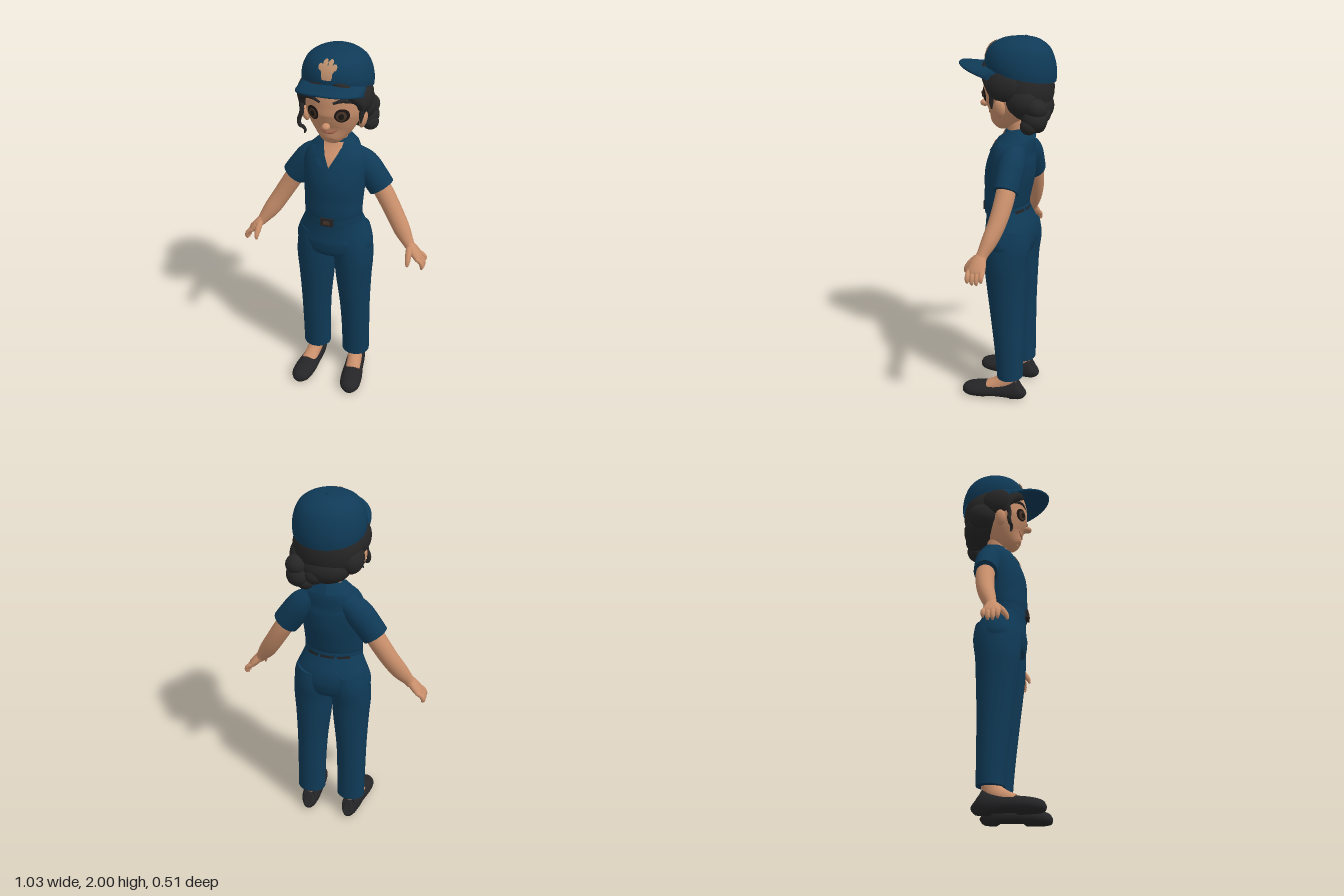
import * as THREE from 'three';

const mat = (name, color, side = THREE.FrontSide) => {
  const m = new THREE.MeshStandardMaterial({ color, side });
  m.name = name;
  return m;
};

export function createModel() {
  const root = new THREE.Group();
  root.name = 'officer';
  const navy = mat('navy cloth', 0x0f3a57, THREE.DoubleSide);
  const skin = mat('skin', 0xc98f6b, THREE.DoubleSide);
  const hairBlack = mat('black hair', 0x272626, THREE.DoubleSide);
  const leather = mat('black leather', 0x252527);
  const eyeDark = mat('dark eye', 0x1c1613, THREE.DoubleSide);
  const iris = mat('brown iris', 0x4a3528, THREE.DoubleSide);
  const lip = mat('lip', 0xa8664f);
  const tan = mat('tan badge', 0xbd8f6c, THREE.DoubleSide);

  const add = (parent, name, geometry, material) => {
    const m = new THREE.Mesh(geometry, material);
    m.name = name;
    parent.add(m);
    return m;
  };
  const group = (name) => {
    const g = new THREE.Group();
    g.name = name;
    root.add(g);
    return g;
  };
  const build = (pos, idx) => {
    const g = new THREE.BufferGeometry();
    g.setAttribute('position', new THREE.Float32BufferAttribute(pos, 3));
    g.setIndex(idx);
    g.computeVertexNormals();
    return g;
  };

  // Smooth solid through elliptical rings [x, y, z, radius towards ref, radius across]
  function loft(pts, { ref = [0, 0, 1], n = 28, steps = 5 } = {}) {
    const path = new THREE.CatmullRomCurve3(pts.map((p) => new THREE.Vector3(p[0], p[1], p[2])), false, 'catmullrom');
    const size = new THREE.CatmullRomCurve3(pts.map((p) => new THREE.Vector3(p[3], p[4] ?? p[3], 0)), false, 'catmullrom');
    const pos = [], idx = [], rows = (pts.length - 1) * steps, R = new THREE.Vector3(...ref);
    const ring = (t) => {
      const c = path.getPoint(t), T = path.getTangent(t), s = size.getPoint(t);
      const N = R.clone().addScaledVector(T, -R.dot(T)).normalize();
      const B = T.clone().cross(N);
      for (let j = 0; j < n; j++) {
        const a = (j / n) * Math.PI * 2;
        const v = c.clone().addScaledVector(N, Math.cos(a) * s.x).addScaledVector(B, Math.sin(a) * s.y);
        pos.push(v.x, v.y, v.z);
      }
      return c;
    };
    for (let i = 0; i <= rows; i++) ring(i / rows);
    for (let i = 0; i < rows; i++) for (let j = 0; j < n; j++) {
      const a = i * n + j, b = i * n + ((j + 1) % n);
      idx.push(a, b, a + n, b, b + n, a + n);
    }
    for (const t of [0, 1]) {
      const k = pos.length / 3, c = ring(t);
      pos.push(c.x, c.y, c.z);
      for (let j = 0; j < n; j++) {
        const a = k + j, b = k + ((j + 1) % n);
        t ? idx.push(a, b, k + n) : idx.push(b, a, k + n);
      }
    }
    return build(pos, idx);
  }
  // Surface over rows of points
  function sheet(rows) {
    const w = rows[0].length, idx = [];
    for (let i = 0; i < rows.length - 1; i++) for (let j = 0; j < w - 1; j++) {
      const a = i * w + j;
      idx.push(a, a + 1, a + w, a + 1, a + w + 1, a + w);
    }
    return build(rows.flat(2), idx);
  }
  // Depth of a mesh's front surface, used to lay thin details on it
  const ray = new THREE.Raycaster();
  const frontOf = (mesh) => (x, y) => {
    ray.set(new THREE.Vector3(x, y, 2), new THREE.Vector3(0, 0, -1));
    const hit = ray.intersectObject(mesh)[0];
    return hit ? hit.point.z : 0;
  };
  // Thin plate on a surface; rows [y, xMin, xMax] from bottom to top
  const plate = (rows, depth, lift) => sheet(rows.map(([y, a, b]) =>
    Array.from({ length: 13 }, (_, j) => {
      const x = a + ((b - a) * j) / 12;
      return [x, y, depth(x, y) + lift];
    })));
  const oval = (cx, cy, rx, ry) => Array.from({ length: 17 }, (_, i) => {
    const a = (i / 16 - 0.5) * Math.PI, w = rx * Math.cos(a);
    return [cy + ry * Math.sin(a), cx - w, cx + w];
  });
  const blob = (parent, name, material, p, s) => {
    const m = add(parent, name, new THREE.SphereGeometry(1, 28, 18), material);
    m.position.set(...p);
    m.scale.set(...s);
    return m;
  };

  // Shirt and neck
  const body = group('body');
  const shirt = add(body, 'shirt', loft([
    [0, 1.09, -0.005, 0.105, 0.145], [0, 1.13, 0, 0.115, 0.155], [0, 1.2, -0.008, 0.122, 0.158],
    [0, 1.3, -0.02, 0.13, 0.165], [0, 1.4, -0.04, 0.115, 0.168], [0, 1.46, -0.06, 0.09, 0.14],
    [0, 1.5, -0.064, 0.075, 0.095], [0, 1.525, -0.065, 0.066, 0.072]], { n: 40 }), navy);
  add(body, 'neck', loft([[0, 1.42, -0.065, 0.055], [0, 1.52, -0.06, 0.056], [0, 1.62, -0.045, 0.06]]), skin);
  add(body, 'openNeck', plate([[1.405, 0, 0], [1.43, -0.014, 0.014], [1.46, -0.03, 0.03],
    [1.49, -0.047, 0.047], [1.518, -0.052, 0.052]], frontOf(shirt), 0.006), skin);
  const collarIn = [[0, 1.405, 0.078], [0.045, 1.49, 0.028], [0.07, 1.525, -0.03], [0.06, 1.54, -0.1], [0, 1.545, -0.128]];
  const collarOut = [[0.06, 1.41, 0.078], [0.1, 1.452, 0.033], [0.137, 1.475, -0.05], [0.095, 1.488, -0.13], [0, 1.488, -0.157]];

  // Trousers
  add(body, 'hips', loft([
    [0, 0.83, -0.03, 0.05, 0.06], [0, 0.87, -0.03, 0.115, 0.18], [0, 0.92, -0.028, 0.135, 0.212],
    [0, 0.98, -0.027, 0.138, 0.203], [0, 1.05, -0.015, 0.122, 0.172], [0, 1.1, -0.005, 0.112, 0.153],
    [0, 1.125, -0.003, 0.11, 0.15]], { n: 40 }), navy);

  // Belt: cloth in front, leather showing between loops behind
  const band = (name, material, from, to, h, grow) => {
    const m = add(body, name, new THREE.CylinderGeometry(1, 1, h, 40, 1, true, from * Math.PI, (to - from) * Math.PI), material);
    m.scale.set(0.157 + grow, 1, 0.116 + grow);
    m.position.set(0, 1.1, -0.004);
  };
  band('waistband', navy, 0, 2, 0.04, 0);
  for (const a of [0.74, 0.92, 1.1]) band('beltStrip', leather, a, a + 0.15, 0.026, 0.004);
  const buckle = add(body, 'buckle', new THREE.BoxGeometry(0.068, 0.046, 0.018), leather);
  buckle.position.set(0, 1.1, 0.114);
  const plateIn = add(body, 'bucklePlate', new THREE.BoxGeometry(0.036, 0.02, 0.008), iris);
  plateIn.position.set(0, 1.1, 0.122);

  // Paired limbs
  for (const s of [1, -1]) {
    const side = s > 0 ? 'left' : 'right';
    const mx = (pts) => pts.map(([x, ...r]) => [x * s, ...r]);
    const limb = group(side + 'Limbs');
    const put = (name, pts, material, opt) => add(limb, side + name, loft(mx(pts), opt), material);
    add(limb, side + 'Collar', sheet([mx(collarIn), mx(collarOut)]), navy);
    put('TrouserLeg', [[0.12, 0.135, -0.06, 0.072, 0.08], [0.119, 0.3, -0.053, 0.08, 0.081],
      [0.115, 0.5, -0.042, 0.093, 0.086], [0.108, 0.7, -0.033, 0.11, 0.1], [0.107, 0.82, -0.03, 0.119, 0.108],
      [0.1, 0.92, -0.035, 0.127, 0.108], [0.09, 1.0, -0.035, 0.12, 0.1]], navy);
    put('Sleeve', [[0.08, 1.43, -0.075, 0.055], [0.145, 1.378, -0.077, 0.07, 0.074], [0.2, 1.31, -0.076, 0.068, 0.074],
      [0.24, 1.255, -0.075, 0.064, 0.072]], navy);
    put('Arm', [[0.2, 1.31, -0.077, 0.05], [0.26, 1.215, -0.075, 0.05], [0.32, 1.115, -0.06, 0.046, 0.048],
      [0.37, 1.035, -0.037, 0.04, 0.045], [0.412, 0.975, -0.015, 0.029, 0.031], [0.43, 0.95, -0.01, 0.03, 0.026]], skin);
    put('Palm', [[0.415, 0.975, -0.01, 0.024, 0.024], [0.445, 0.94, -0.005, 0.041, 0.025],
      [0.475, 0.905, -0.004, 0.045, 0.02], [0.485, 0.89, -0.004, 0.035, 0.012]], skin);
    for (let i = 0; i < 4; i++) {
      const z = -0.039 + i * 0.024, d = i === 0 ? 0.016 : i === 3 ? 0.006 : 0;
      put('Finger', [[0.468, 0.912, z, 0.012], [0.495, 0.888 + d / 2, z, 0.0125],
        [0.503, 0.86 + d, z, 0.011], [0.499, 0.845 + d, z, 0.005]], skin, { n: 12 });
    }
    put('Thumb', [[0.425, 0.96, 0.01, 0.018], [0.428, 0.93, 0.042, 0.017], [0.43, 0.9, 0.064, 0.013],
      [0.429, 0.877, 0.071, 0.006]], skin, { n: 12 });
    put('Foot', [[0.12, 0.2, -0.06, 0.045, 0.04], [0.122, 0.12, -0.052, 0.05, 0.042], [0.13, 0.08, -0.005, 0.045, 0.042],
      [0.137, 0.055, 0.06, 0.035, 0.045]], skin);
    const shoe = put('Shoe', [[0.122, 0.07, -0.127, 0.035, 0.02], [0.123, 0.062, -0.113, 0.064, 0.042],
      [0.126, 0.05, -0.06, 0.06, 0.052], [0.133, 0.04, 0.02, 0.048, 0.056], [0.143, 0.034, 0.1, 0.045, 0.062],
      [0.151, 0.028, 0.165, 0.038, 0.056], [0.155, 0.024, 0.2, 0.026, 0.035], [0.156, 0.024, 0.212, 0.01, 0.012]],
    leather, { ref: [0, 1, 0] });
    // Flat sole, lifted at the arch
    const p = shoe.geometry.attributes.position;
    for (let i = 0; i < p.count; i++) {
      const z = p.getZ(i), arch = z > -0.06 && z < 0.07 ? 0.014 : 0;
      p.setY(i, Math.max(p.getY(i), arch));
    }
    shoe.geometry.computeVertexNormals();
  }

  // Head and face
  const head = group('head');
  const face = add(head, 'face', loft([
    [0, 1.537, 0.055, 0.015, 0.02], [0, 1.55, 0.045, 0.048, 0.05], [0, 1.6, 0.012, 0.095, 0.1],
    [0, 1.66, -0.01, 0.13, 0.133], [0, 1.72, -0.02, 0.14, 0.147], [0, 1.8, -0.03, 0.145, 0.148],
    [0, 1.87, -0.05, 0.13, 0.13], [0, 1.91, -0.06, 0.07, 0.07]], { n: 40 }), skin);
  const fz = frontOf(face);
  const line = (name, material, pts, r) =>
    add(head, name, loft(pts.map(([x, y, k = 1]) => [x, y, fz(x, y), r * 0.7 * k, r * k]), { n: 10 }), material);
  blob(head, 'nose', skin, [0, 1.65, 0.122], [0.021, 0.018, 0.024]);
  line('mouth', lip, [[-0.045, 1.622, 0.4], [-0.02, 1.608], [0, 1.605], [0.02, 1.608], [0.045, 1.622, 0.4]], 0.007);
  for (const s of [1, -1]) {
    add(head, 'eye', plate(oval(0.074 * s, 1.708, 0.034, 0.037), fz, 0.003), eyeDark);
    add(head, 'iris', plate(oval(0.073 * s, 1.706, 0.023, 0.027), fz, 0.006), iris);
    add(head, 'pupil', plate(oval(0.073 * s, 1.706, 0.013, 0.016), fz, 0.009), eyeDark);
    line('eyebrow', hairBlack, [[0.033 * s, 1.772, 0.7], [0.065 * s, 1.784], [0.095 * s, 1.78], [0.118 * s, 1.764, 0.3]], 0.009);
    blob(head, 'ear', skin, [0.15 * s, 1.655, -0.012], [0.02, 0.046, 0.03]).rotation.z = -0.2 * s;
  }

  // Hair
  const hair = group('hair');
  const lump = (name, p, r) => blob(hair, name, hairBlack, p, r);
  lump('hairBack', [0, 1.74, -0.11], [0.172, 0.165, 0.135]);
  lump('hairNape', [0, 1.65, -0.155], [0.13, 0.085, 0.09]);
  for (const s of [1, -1]) {
    lump('hairSide', [0.15 * s, 1.765, -0.03], [0.042, 0.075, 0.085]);
    lump('hairRoll', [0.125 * s, 1.69, -0.12], [0.06, 0.075, 0.08]);
    add(hair, 'hairFringe', loft([[0.012 * s + 0.015, 1.87, 0.085, 0.02, 0.012], [0.06 * s + 0.008, 1.845, 0.085, 0.024, 0.028],
      [0.115 * s, 1.805, 0.065, 0.028, 0.03], [0.15 * s, 1.755, 0.03, 0.028, 0.024],
      [0.157 * s, 1.7, 0.015, 0.014, 0.01]]), hairBlack);
  }
  for (const [x, y, z, r] of [[0.12, 1.605, -0.185, 0.066], [0.145, 1.575, -0.165, 0.045], [0.09, 1.575, -0.19, 0.045],
    [0.13, 1.66, -0.195, 0.055], [0.04, 1.62, -0.19, 0.055]]) lump('bun', [x, y, z], [r, r * 0.95, r]);
  add(hair, 'curl', loft([[-0.16, 1.74, 0.03, 0.012], [-0.153, 1.68, 0.04, 0.012], [-0.168, 1.635, 0.04, 0.011],
    [-0.163, 1.605, 0.045, 0.01], [-0.143, 1.6, 0.05, 0.009], [-0.133, 1.58, 0.048, 0.007], [-0.14, 1.563, 0.045, 0.003]],
  { n: 10 }), hairBlack);
  add(hair, 'earLock', loft([[0.157, 1.74, 0.025, 0.014], [0.152, 1.69, 0.03, 0.012], [0.148, 1.65, 0.03, 0.004]], { n: 10 }), hairBlack);

  // Cap crown, tilted down at the back
  const cap = group('cap');
  const rim = (z) => 1.812 + 0.2 * (z + 0.075);
  const profile = new THREE.SplineCurve([[1, 0], [1.01, 0.22], [0.95, 0.5], [0.79, 0.76], [0.45, 0.95], [0, 1]]
    .map((p) => new THREE.Vector2(...p))).getPoints(24);
  const crownGeo = new THREE.LatheGeometry(profile, 48);
  const cp = crownGeo.attributes.position;
  for (let i = 0; i < cp.count; i++) {
    const z = -0.073 + cp.getZ(i) * 0.181, b = rim(z);
    cp.setXYZ(i, cp.getX(i) * 0.178, b + cp.getY(i) * (1.996 - b), z);
  }
  crownGeo.computeVertexNormals();
  const crown = add(cap, 'crown', crownGeo, navy);
  blob(cap, 'capButton', navy, [0, 1.994, -0.1], [0.012, 0.007, 0.012]);

  // Curved brim with a thin edge
  const brimRow = (k, drop) => Array.from({ length: 33 }, (_, j) => {
    const u = (j / 32) * 2 - 1, a = u * 1.25, b = u * 1.57;
    const xi = 0.174 * Math.sin(a), zi = -0.073 + 0.177 * Math.cos(a);
    const xo = 0.166 * Math.sin(b), zo = 0.05 + 0.202 * Math.cos(b);
    const yi = rim(zi) + 0.012, yo = 1.868 - 0.062 * Math.abs(u) ** 1.6;
    return [xi + (xo - xi) * k, yi + (yo - yi) * k - drop, zi + (zo - zi) * k];
  });
  add(cap, 'brim', sheet([[0, 0], [0.35, 0], [0.7, 0], [0.95, 0], [1, 0.006], [0.95, 0.013], [0.5, 0.014], [0, 0.014]]
    .map((r) => brimRow(...r)).reverse()), navy);

  // Badge plate with scalloped top
  const cz = frontOf(crown);
  add(cap, 'badge', plate([[1.885, -0.022, 0.022], [1.9, -0.027, 0.027], [1.915, -0.027, 0.027], [1.93, -0.036, 0.036],
    [1.942, -0.034, 0.034], [1.95, -0.02, 0.02]], cz, 0.006), tan);
  for (const [x, y] of [[-0.034, 1.942], [-0.013, 1.958], [0.013, 1.958], [0.034, 1.942]])
    add(cap, 'badgeScallop', plate(oval(x, y, 0.012, 0.014), cz, 0.009), tan);

  return root;
}
